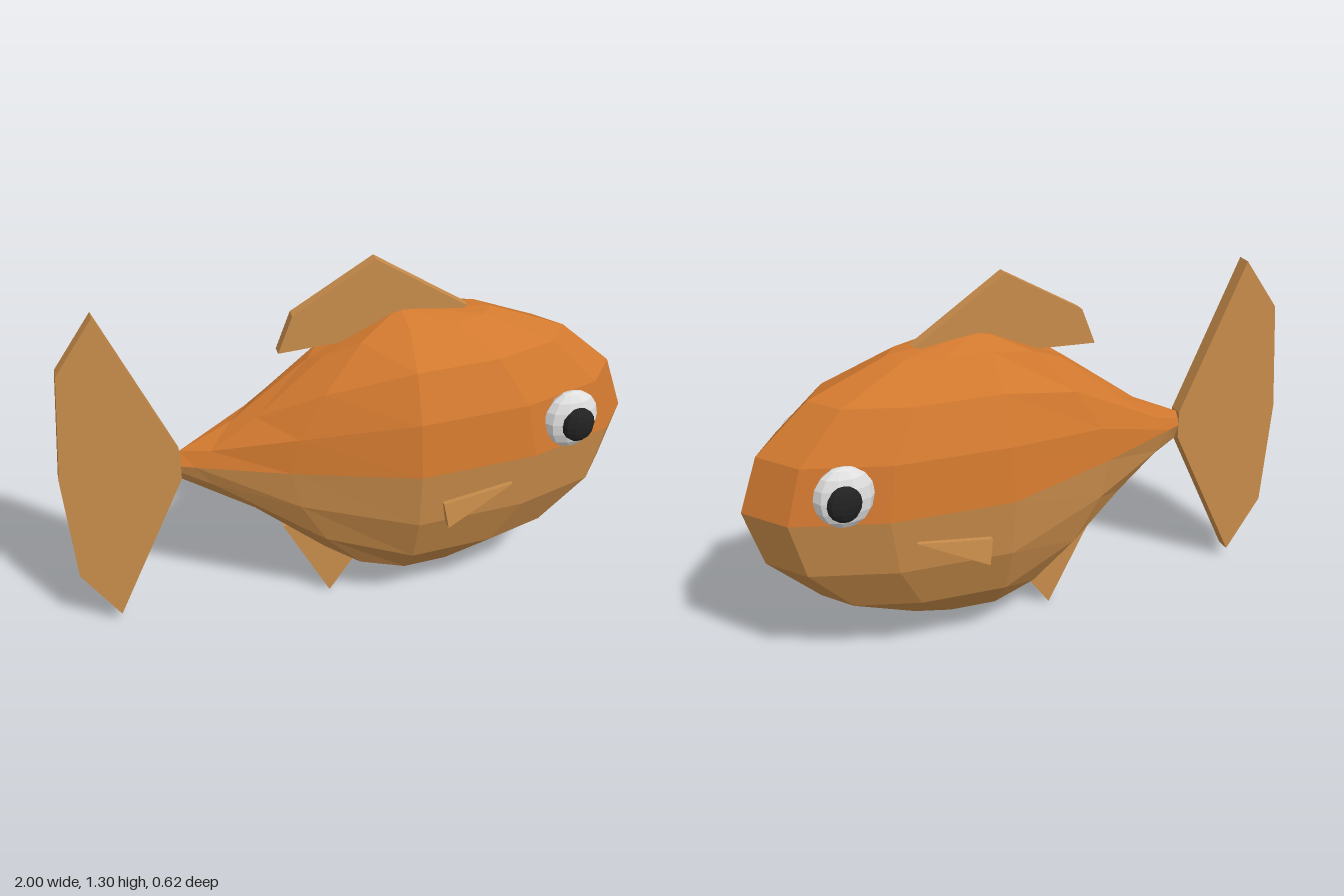
import * as THREE from 'three';

const material = (name, color) => {
  const m = new THREE.MeshStandardMaterial({ color });
  m.name = name;
  return m;
};

// Unshared vertices give every facet its own flat normal
function flat(geometry) {
  const g = geometry.index ? geometry.toNonIndexed() : geometry;
  g.computeVertexNormals();
  return g;
}

function part(name, geometry, mat) {
  const mesh = new THREE.Mesh(flat(geometry), mat);
  mesh.name = name;
  return mesh;
}

// Flat fin cut from an outline in the x-y plane, centred on z = 0
function finPlate(points, thickness) {
  const shape = new THREE.Shape(points.map(([x, y]) => new THREE.Vector2(x, y)));
  return new THREE.ExtrudeGeometry(shape, { depth: thickness, bevelEnabled: false })
    .translate(0, 0, -thickness / 2);
}

// Faceted ellipsoid tapering smoothly towards the tail
function bodyGeometry() {
  const centreX = 0.17, centreY = 0.6;
  const g = new THREE.SphereGeometry(1, 12, 8);
  const p = g.attributes.position;
  for (let i = 0; i < p.count; i++) {
    const x = p.getX(i);
    const taper = 1 - 0.74 * THREE.MathUtils.smoothstep(-x, 0, 1);
    p.setXYZ(i, centreX + 0.83 * x, centreY + 0.02 + (p.getY(i) * 0.515 * taper) - 0.02 * Math.abs(p.getY(i)),
      p.getZ(i) * 0.3 * taper);
  }
  // Upper half is the back, lower half the belly
  const half = g.index.count / 2;
  g.clearGroups();
  g.addGroup(0, half, 0);
  g.addGroup(half, half, 1);
  return g;
}

// Small triangular side fin resting on the flank (side = 1 or -1 in z)
function sideFinGeometry(side) {
  const outer = [[0.5, 0.53, 0.275], [0.25, 0.5, 0.297], [0.265, 0.41, 0.309]];
  const verts = [...outer, ...outer.map(([x, y, z]) => [x, y, z - 0.035])];
  const g = new THREE.BufferGeometry();
  g.setAttribute('position', new THREE.Float32BufferAttribute(
    verts.flatMap(([x, y, z]) => [x, y, z * side]), 3));
  const faces = [[0, 1, 2], [3, 5, 4]];
  for (let i = 0; i < 3; i++) {
    const j = (i + 1) % 3;
    faces.push([i, i + 3, j + 3], [i, j + 3, j]);
  }
  g.setIndex(faces.flatMap(([a, b, c]) => (side > 0 ? [a, b, c] : [a, c, b])));
  return g;
}

export function createModel() {
  const backColor = material('orange back', 0xd2792f);
  const bellyColor = material('tan belly and fins', 0xc88c4a);
  const eyeColor = material('eye white', 0xe0e0e0);
  const pupilColor = material('pupil black', 0x222222);

  const fish = new THREE.Group();
  fish.name = 'fish';

  fish.add(part('body', bodyGeometry(), [backColor, bellyColor]));

  // Fins along the centre line
  fish.add(part('tailFin', finPlate([
    [-0.595, 0.67], [-0.84, 1.205], [-0.97, 1.015], [-1, 0.62],
    [-0.97, 0.23], [-0.84, 0.04], [-0.595, 0.57],
  ], 0.05), bellyColor));
  fish.add(part('dorsalFin', finPlate([
    [-0.25, 1], [-0.2, 1.13], [0.08, 1.3], [0.4, 1.095], [0.15, 1.03],
  ], 0.04), bellyColor));
  fish.add(part('analFin', finPlate([
    [-0.25, 0.31], [-0.085, 0], [0.02, 0.15], [0.05, 0.3],
  ], 0.04), bellyColor));

  // Paired parts
  for (const side of [1, -1]) {
    const label = side > 0 ? 'near' : 'far';
    fish.add(part(label + 'SideFin', sideFinGeometry(side), bellyColor));

    const eye = part(label + 'Eye', new THREE.SphereGeometry(1, 10, 8), eyeColor);
    eye.scale.set(0.1, 0.107, 0.048);
    eye.position.set(0.718, 0.725, 0.217 * side);
    eye.rotation.y = 0.08 * side;

    const pupil = part(label + 'Pupil', new THREE.SphereGeometry(1, 10, 8), pupilColor);
    pupil.scale.set(0.058, 0.063, 0.03);
    pupil.position.set(0.73, 0.722, 0.259 * side);
    fish.add(eye, pupil);
  }
  return fish;
}
